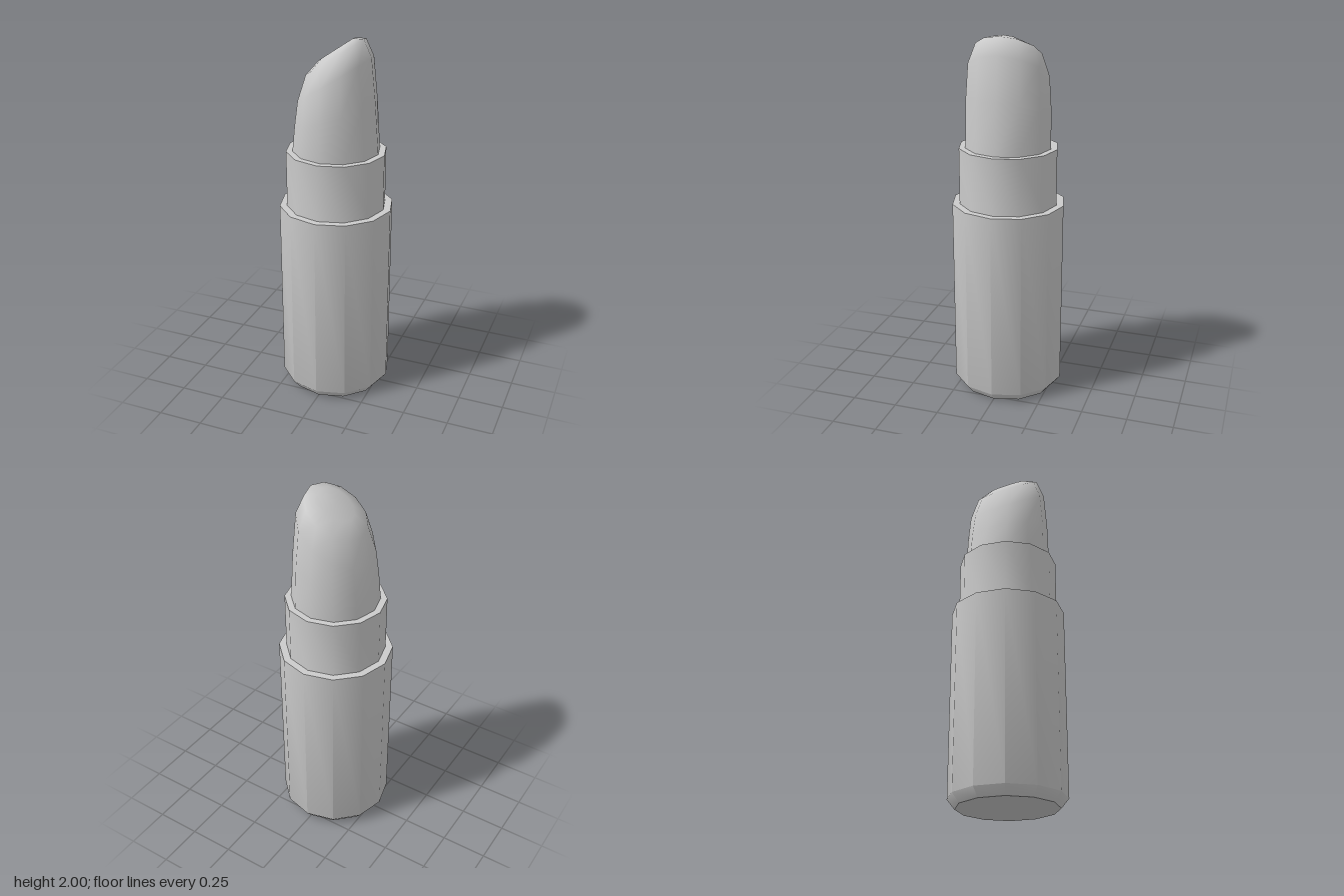
import * as THREE from 'three';
import { toCreasedNormals } from 'three/addons/utils/BufferGeometryUtils.js';

const SIDES = 12;
const material = new THREE.MeshStandardMaterial({ color: 0xcccccc });

function addMesh(group, name, geometry) {
  const mesh = new THREE.Mesh(geometry, material);
  mesh.name = name;
  group.add(mesh);
}

// Turned part from [radius, y] pairs, listed bottom to top
function turned(profile) {
  const points = profile.map(([r, y]) => new THREE.Vector2(r, y));
  return toCreasedNormals(new THREE.LatheGeometry(points, SIDES), 0.8);
}

// Skin over tilted oval rings, closed by a centre point at the top.
// Each ring: left x, left y, right x, right y, depth radius
function slantedLoft(rings) {
  const position = [], index = [];
  for (const [x0, y0, x1, y1, rz] of rings) {
    for (let i = 0; i < SIDES; i++) {
      const a = (i / SIDES) * Math.PI * 2;
      const t = (Math.cos(a) + 1) / 2;
      position.push(x0 + (x1 - x0) * t, y0 + (y1 - y0) * t, rz * Math.sin(a));
    }
  }
  const [x0, y0, x1, y1] = rings[rings.length - 1];
  position.push((x0 + x1) / 2, (y0 + y1) / 2, 0);
  const tip = rings.length * SIDES;
  for (let k = 0; k < rings.length; k++) {
    for (let i = 0; i < SIDES; i++) {
      const j = (i + 1) % SIDES;
      const a = k * SIDES + i, b = k * SIDES + j;
      if (k === rings.length - 1) index.push(a, tip, b);
      else index.push(a, a + SIDES, b, b, a + SIDES, b + SIDES);
    }
  }
  const geometry = new THREE.BufferGeometry();
  geometry.setAttribute('position', new THREE.Float32BufferAttribute(position, 3));
  geometry.setIndex(index);
  geometry.computeVertexNormals();
  return geometry;
}

export function createModel() {
  const group = new THREE.Group();
  group.name = 'lipstick';

  // Outer case with a chamfered foot and flat shoulder
  addMesh(group, 'case', turned([[0, 0], [0.27, 0], [0.31, 0.05], [0.31, 1.09], [0.27, 1.09]]));

  // Inner sleeve with a flat rim
  addMesh(group, 'sleeve', turned([[0.27, 1.09], [0.27, 1.4], [0.23, 1.4]]));

  // Slanted, rounded stick
  addMesh(group, 'stick', slantedLoft([
    [-0.235, 1.4, 0.235, 1.4, 0.235],
    [-0.218, 1.53, 0.214, 1.68, 0.234],
    [-0.198, 1.66, 0.19, 1.91, 0.221],
    [-0.153, 1.8, 0.147, 2.0, 0.18],
    [-0.09, 1.875, 0.09, 2.0, 0.1],
  ]));

  return group;
}
